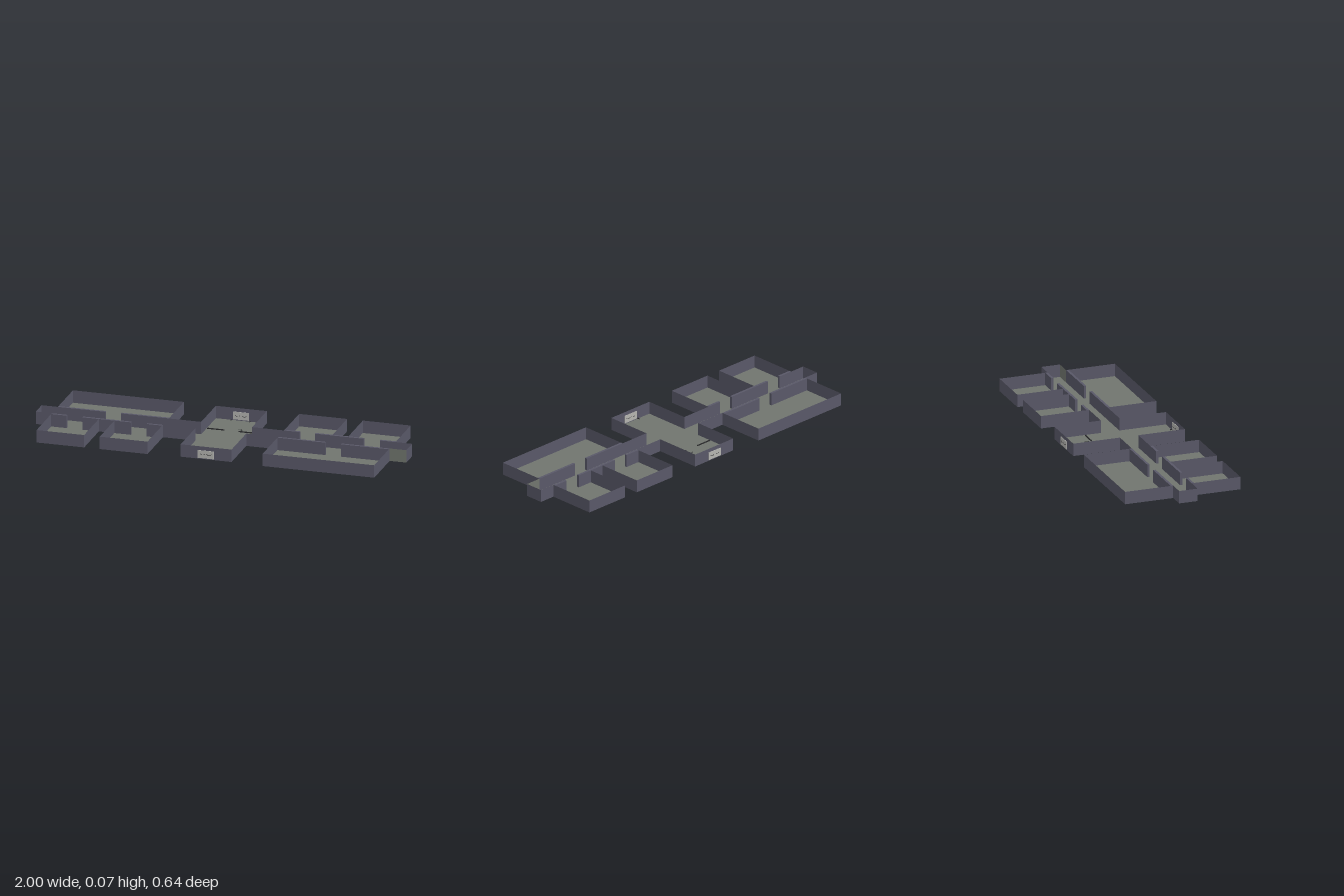
import * as THREE from 'three';

const FLOOR = 0.003, TOP = 0.071, H = TOP - FLOOR;

export function createModel() {
  const model = new THREE.Group();
  model.name = 'floorPlan';
  const mat = (name, color, side = THREE.FrontSide) => {
    const m = new THREE.MeshStandardMaterial({ color, side });
    m.name = name;
    return m;
  };
  const wallMat = mat('slateWall', 0x595868, THREE.DoubleSide);
  const floorMat = mat('greenGreyFloor', 0x70756e, THREE.DoubleSide);
  const panelMat = mat('paleGrey', 0xb4b4b0);
  const darkMat = mat('charcoal', 0x2a2a2c);

  const add = (name, geometry, material, x = 0, y = 0, z = 0) => {
    const mesh = new THREE.Mesh(geometry, material);
    mesh.name = name;
    mesh.position.set(x, y, z);
    model.add(mesh);
    return mesh;
  };
  const box = (name, x0, x1, y0, y1, z0, z1, material) =>
    add(name, new THREE.BoxGeometry(x1 - x0, y1 - y0, z1 - z0), material,
      (x0 + x1) / 2, (y0 + y1) / 2, (z0 + z1) / 2);

  // Outline of the whole building: [x, z], back edge from left to right, then the front edge
  const outline = [
    [-1, -0.054], [-0.913, -0.054], [-0.913, -0.319], [-0.314, -0.319], [-0.314, -0.054],
    [-0.139, -0.054], [-0.139, -0.311], [0.136, -0.311], [0.136, -0.054],
    [0.308, -0.054], [0.308, -0.319], [0.567, -0.319], [0.567, -0.067],
    [0.652, -0.067], [0.652, -0.319], [0.91, -0.319], [0.91, -0.054], [1, -0.054],
    [1, 0.048], [0.91, 0.048], [0.91, 0.317], [0.308, 0.317], [0.308, 0.048],
    [0.136, 0.048], [0.136, 0.305], [-0.139, 0.305], [-0.139, 0.048],
    [-0.314, 0.048], [-0.314, 0.317], [-0.572, 0.317], [-0.572, 0.061],
    [-0.656, 0.061], [-0.656, 0.317], [-0.913, 0.317], [-0.913, 0.048], [-1, 0.048],
  ];

  // Floor
  const shape = new THREE.Shape(outline.map(([x, z]) => new THREE.Vector2(x, -z)));
  add('floor', new THREE.ShapeGeometry(shape).rotateX(-Math.PI / 2), floorMat, 0, FLOOR, 0);

  // Outer walls, one sheet per edge; one short corridor wall has the floor colour
  outline.forEach(([x0, z0], i) => {
    const [x1, z1] = outline[(i + 1) % outline.length];
    const sheet = new THREE.PlaneGeometry(Math.hypot(x1 - x0, z1 - z0), H);
    const wall = add(i === 18 ? 'corridorEndWall' : 'outerWall', sheet,
      i === 18 ? floorMat : wallMat, (x0 + x1) / 2, FLOOR + H / 2, (z0 + z1) / 2);
    wall.rotation.y = Math.atan2(z0 - z1, x1 - x0);
  });

  // Partitions between the corridor and the rooms, with door gaps
  const backRuns = [[-0.913, -0.656], [-0.572, -0.314], [0.308, 0.392], [0.475, 0.738], [0.826, 0.91]];
  const frontRuns = [[-0.913, -0.83], [-0.744, -0.483], [-0.398, -0.314], [0.308, 0.567], [0.652, 0.91]];
  for (const [a, b] of backRuns) box('backPartition', a, b, FLOOR, TOP, -0.067, -0.054, wallMat);
  for (const [a, b] of frontRuns) box('frontPartition', a, b, FLOOR, TOP, 0.048, 0.061, wallMat);

  // Entrance panels at both ends of the hall, with wavy marks and jambs
  for (const [z, s] of [[0.305, 1], [-0.311, -1]]) {
    box('entrancePanel', -0.046, 0.04, 0.008, 0.05, z - 0.003, z + 0.003, panelMat);
    for (const face of [-1, 1]) for (const cx of [-0.02, 0.015]) {
      const wave = new THREE.CatmullRomCurve3([
        [-0.013, 0.004], [-0.007, -0.001], [0, -0.002], [0.007, -0.001], [0.013, 0.004],
      ].map(([x, y]) => new THREE.Vector3(cx + x, 0.028 + y, z + face * 0.003)));
      add('wavyMark', new THREE.TubeGeometry(wave, 12, 0.0012, 5), darkMat);
    }
    for (const x of [-0.055, 0.047]) {
      const zi = z - s * 0.006;
      box('entranceJamb', x - 0.0015, x + 0.0015, FLOOR, 0.008, zi - 0.006, zi + 0.006, darkMat);
    }
  }

  // Low floor strips across the hall
  for (const [a, b] of [[-0.134, -0.042], [0.036, 0.126]])
    box('floorStrip', a, b, FLOOR, 0.008, -0.147, -0.142, darkMat);

  // Small hook lying on the hall floor
  const hook = new THREE.CatmullRomCurve3([
    [0.024, -0.176], [0.032, -0.183], [0.043, -0.177], [0.045, -0.165], [0.037, -0.158],
  ].map(([x, z]) => new THREE.Vector3(x, 0.0025, z)));
  add('floorHook', new THREE.TubeGeometry(hook, 16, 0.002, 6), darkMat);

  return model;
}
